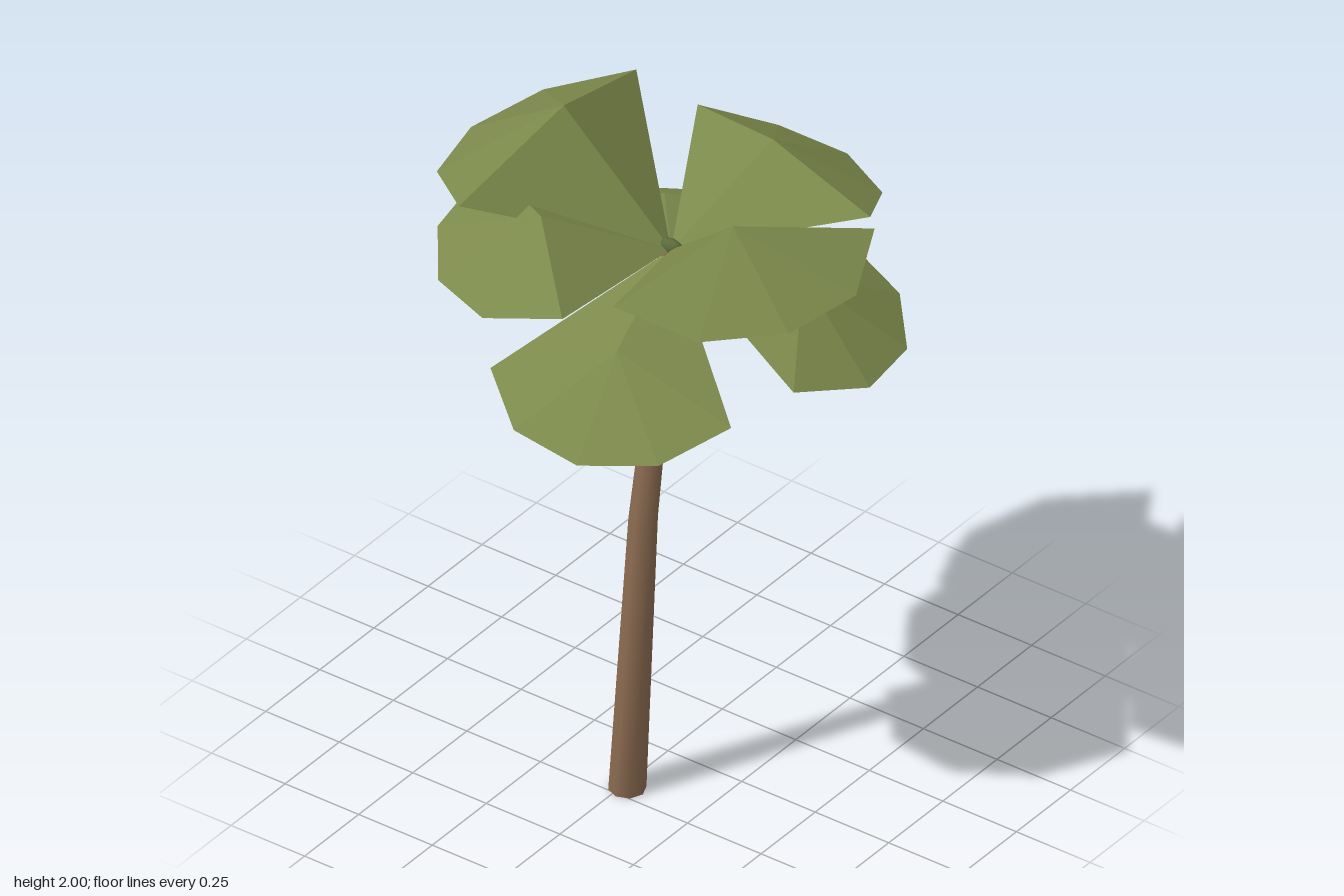
import * as THREE from 'three';
import { mergeVertices } from 'three/addons/utils/BufferGeometryUtils.js';

const leafGreen = new THREE.MeshStandardMaterial({ color: 0x7c894b, flatShading: true, side: THREE.DoubleSide });
leafGreen.name = 'leaf green';
const budGreen = new THREE.MeshStandardMaterial({ color: 0x5c6b3c });
budGreen.name = 'bud green';
const bark = new THREE.MeshStandardMaterial({ color: 0x8a6a50 });
bark.name = 'bark brown';

const CROWN = new THREE.Vector3(0, 1.67, 0.01);

// One folded frond: a fan from the crown to a raised fold, then a drooping rim.
// Heights are relative to the crown; dx, dz is the outward direction.
function frond({ dx, dz, width, foldR, foldY, cornerR, cornerY, rimY, tipR, tipY }) {
  const d = new THREE.Vector2(dx, dz).normalize();
  const at = (w, r, y) => [d.x * r - d.y * w, y, d.y * r + d.x * w];
  const apex = [0, 0, 0];
  const fold = at(0, foldR, foldY);
  const rim = [
    at(-width, cornerR, cornerY),
    at(-width * 0.6, tipR * 0.905, rimY),
    at(0, tipR, tipY),
    at(width * 0.6, tipR * 0.905, rimY),
    at(width, cornerR, cornerY),
  ];
  const tris = [[apex, fold, rim[0]], [apex, rim[4], fold]];
  for (let i = 0; i < 4; i++) tris.push([fold, rim[i + 1], rim[i]]);
  const geo = new THREE.BufferGeometry();
  geo.setAttribute('position', new THREE.Float32BufferAttribute(tris.flat(2), 3));
  geo.computeVertexNormals();
  return new THREE.Mesh(geo, leafGreen);
}

// Leaning, tapering trunk with a slight bend; the soft normals run over its ends
function trunk() {
  const rings = [
    { x: -0.21, y: 0, r: 0.053 },
    { x: -0.137, y: 0.86, r: 0.041 },
    { x: 0, y: 1.67, r: 0.028 },
  ];
  let geo = new THREE.CylinderGeometry(1, 1, 2, 8, 2);
  const p = geo.attributes.position;
  for (let i = 0; i < p.count; i++) {
    const ring = rings[Math.round(p.getY(i)) + 1];
    p.setXYZ(i, ring.x + p.getX(i) * ring.r, ring.y, 0.016 + p.getZ(i) * ring.r);
  }
  geo.deleteAttribute('uv');
  geo.deleteAttribute('normal');
  geo = mergeVertices(geo, 1e-4);
  geo.computeVertexNormals();
  const mesh = new THREE.Mesh(geo, bark);
  mesh.name = 'trunk';
  return mesh;
}

export function createModel() {
  const tree = new THREE.Group();
  tree.name = 'palmTree';
  tree.add(trunk());

  // Small bud where the fronds meet
  const bud = new THREE.Mesh(new THREE.SphereGeometry(1, 8, 5), budGreen);
  bud.name = 'crownBud';
  bud.scale.set(0.02, 0.025, 0.04);
  bud.position.set(0, 1.68, 0.01);
  tree.add(bud);

  const fronds = [
    // upper layer
    { name: 'backUpperFrond', dx: 0, dz: -1, width: 0.41, foldR: 0.365, foldY: 0.33, cornerR: 0.42, cornerY: 0.2, rimY: 0.145, tipR: 0.68, tipY: 0.13 },
    { name: 'frontUpperFrond', dx: -0.3, dz: 0.62, width: 0.405, foldR: 0.365, foldY: 0.3, cornerR: 0.427, cornerY: 0.2, rimY: 0.15, tipR: 0.69, tipY: 0.14 },
    { name: 'leftUpperFrond', dx: 0.625, dz: 0.14, width: 0.36, foldR: 0.369, foldY: 0.2, cornerR: 0.41, cornerY: 0.11, rimY: 0.04, tipR: 0.64, tipY: 0.03 },
    { name: 'rightUpperFrond', dx: -0.52, dz: -0.41, width: 0.385, foldR: 0.37, foldY: 0.18, cornerR: 0.415, cornerY: 0.1, rimY: 0.035, tipR: 0.662, tipY: 0.02 },
    // lower layer
    { name: 'rightLowerFrond', dx: -0.625, dz: 0.14, width: 0.36, foldR: 0.369, foldY: -0.105, cornerR: 0.41, cornerY: -0.235, rimY: -0.295, tipR: 0.64, tipY: -0.315 },
    { name: 'frontLowerFrond', dx: 0.29, dz: 0.59, width: 0.385, foldR: 0.367, foldY: -0.04, cornerR: 0.41, cornerY: -0.165, rimY: -0.23, tipR: 0.657, tipY: -0.25 },
    { name: 'leftLowerFrond', dx: 0.49, dz: -0.4, width: 0.375, foldR: 0.36, foldY: -0.06, cornerR: 0.405, cornerY: -0.15, rimY: -0.21, tipR: 0.633, tipY: -0.23 },
  ];
  for (const f of fronds) {
    const mesh = frond(f);
    mesh.name = f.name;
    mesh.position.copy(CROWN);
    tree.add(mesh);
  }
  return tree;
}
